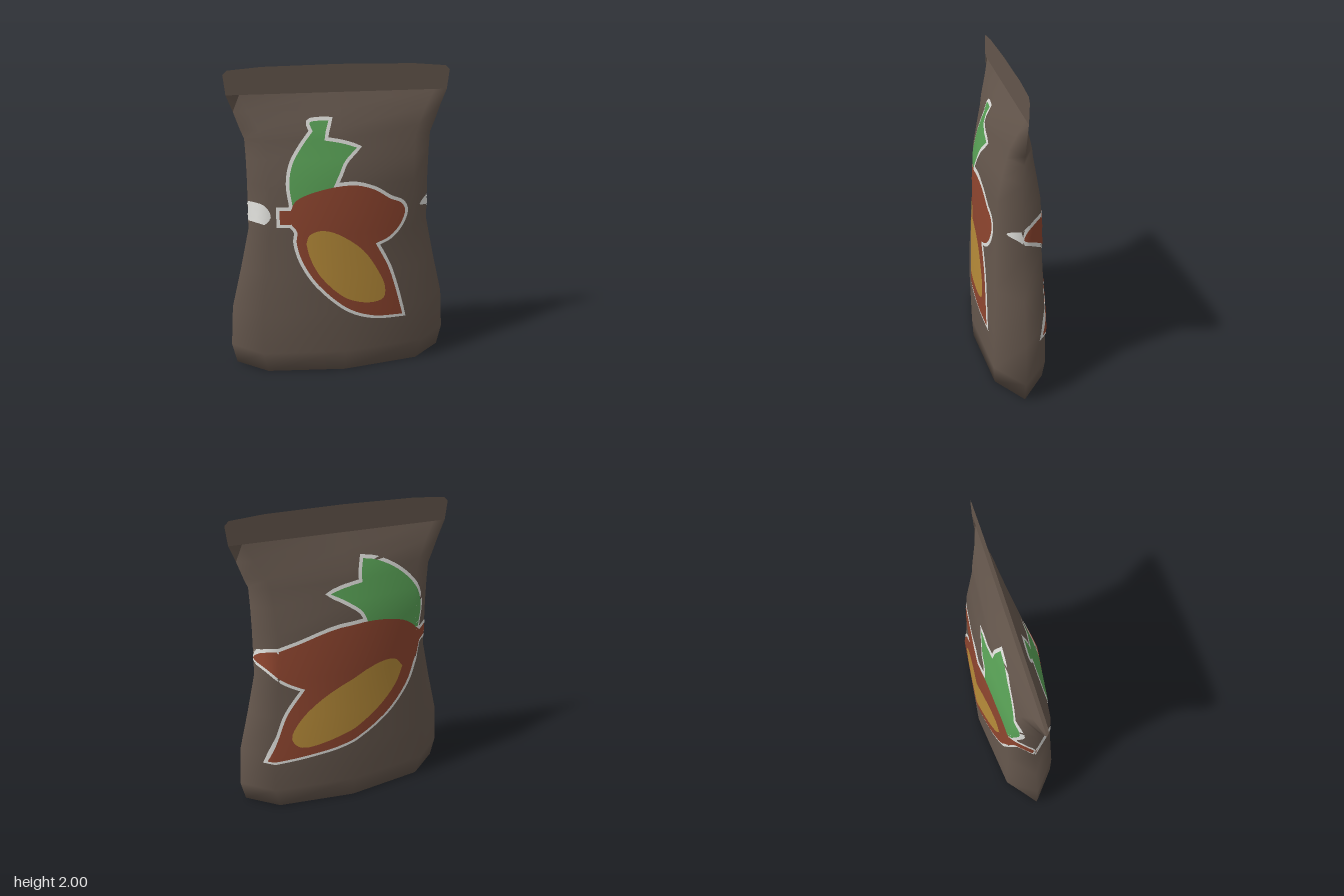
import * as THREE from 'three';

const mat = (name, color) => Object.assign(new THREE.MeshStandardMaterial({ color, side: THREE.DoubleSide }), { name });

// Bag cross-sections: [height, half width, shoulder x, shoulder z, centre z]
const RINGS = [
  [0, 0.71, 0.51, 0.158, 0.222], [0.14, 0.74, 0.54, 0.168, 0.23], [0.42, 0.72, 0.53, 0.165, 0.224],
  [0.7, 0.652, 0.5, 0.152, 0.212], [0.97, 0.592, 0.47, 0.14, 0.2], [1.28, 0.587, 0.46, 0.13, 0.188],
  [1.44, 0.588, 0.465, 0.1, 0.146], [1.56, 0.592, 0.475, 0.075, 0.113], [1.62, 0.615, 0.495, 0.064, 0.098],
  [1.73, 0.652, 0.55, 0.03, 0.046], [1.83, 0.69, 0.61, 0, 0],
];
const section = ([, w, a, b, d]) =>
  [[w, 0], [a, b], [0, d], [-a, b], [-w, 0], [-a, -b], [0, -d], [a, -b]];

function bagGeometry() {
  const pos = [], index = [];
  RINGS.forEach((r) => section(r).forEach(([x, z]) => pos.push(x, r[0], z)));
  for (let i = 0; i < RINGS.length - 1; i++) for (let j = 0; j < 8; j++) {
    const k = (j + 1) % 8, lo = i * 8, hi = lo + 8;
    index.push(lo + j, hi + j, lo + k, lo + k, hi + j, hi + k);
  }
  const c = pos.length / 3;
  pos.push(0, 0, 0);
  for (let j = 0; j < 8; j++) index.push(c, j, (j + 1) % 8);
  const g = new THREE.BufferGeometry();
  g.setAttribute('position', new THREE.Float32BufferAttribute(pos, 3));
  g.setIndex(index);
  g.computeVertexNormals();
  return g;
}

// Point and normal on the bag at (u, y); u past the side edge folds onto the other face
function onBag(bag, u, y, side, lift) {
  let i = 0;
  while (i < RINGS.length - 2 && RINGS[i + 1][0] < y) i++;
  const t = (y - RINGS[i][0]) / (RINGS[i + 1][0] - RINGS[i][0]);
  const pts = section(RINGS[i].map((v, k) => v + (RINGS[i + 1][k] - v) * t));
  const w = pts[0][0];
  let x = u;
  if (Math.abs(u) > w) { x = Math.sign(u) * (2 * w - Math.abs(u)); side = -side; }
  const first = side > 0 ? 0 : 4;
  let j = first;
  while (j < first + 3 && (x - pts[j][0]) * (x - pts[(j + 1) % 8][0]) > 0) j++;
  const k = (j + 1) % 8, s = (x - pts[j][0]) / (pts[k][0] - pts[j][0]);
  const n = (r, c) => new THREE.Vector3().fromBufferAttribute(bag.attributes.normal, r * 8 + c);
  const normal = n(i, j).lerp(n(i, k), s).lerp(n(i + 1, j).lerp(n(i + 1, k), s), t).normalize();
  const point = new THREE.Vector3(x, y, pts[j][1] + (pts[k][1] - pts[j][1]) * s);
  return { point: point.addScaledVector(normal, lift), normal };
}

// Outline from smooth arcs that meet at corners
function outline(arcs) {
  const out = [];
  arcs.forEach((arc, i) => {
    const pts = [...arc, arcs[(i + 1) % arcs.length][0]].map(([x, y]) => new THREE.Vector3(x, y, 0));
    if (pts.length === 2) { out.push(new THREE.Vector2(pts[0].x, pts[0].y)); return; }
    const n = (pts.length - 1) * 4;
    new THREE.CatmullRomCurve3(pts).getPoints(n).slice(0, n).forEach((p) => out.push(new THREE.Vector2(p.x, p.y)));
  });
  return out;
}

// Counter-clockwise outline grown by a border
function grow(pts, d) {
  const n = pts.length;
  return pts.map((p, i) => {
    const e = p.clone().sub(pts[(i + n - 1) % n]).normalize();
    const f = pts[(i + 1) % n].clone().sub(p).normalize();
    const a = new THREE.Vector2(e.y + f.y, -e.x - f.x).normalize();
    const m = Math.min(1.5, 1 / Math.max(0.3, a.x * e.y - a.y * e.x));
    return p.clone().addScaledVector(a, d * m);
  });
}

// Flat shape split into small triangles and laid on the bag
function decal(bag, pts, side, lift) {
  const pos = [], nor = [];
  const put = (p) => {
    const q = onBag(bag, p.x, p.y, side, lift);
    pos.push(...q.point); nor.push(...q.normal);
  };
  const split = (a, b, c) => {
    const ab = a.distanceTo(b), bc = b.distanceTo(c), ca = c.distanceTo(a);
    if (Math.max(ab, bc, ca) < 0.04) (side > 0 ? [a, b, c] : [a, c, b]).forEach(put);
    else if (ab >= bc && ab >= ca) { const m = a.clone().lerp(b, 0.5); split(a, m, c); split(m, b, c); }
    else if (bc >= ca) { const m = b.clone().lerp(c, 0.5); split(a, b, m); split(a, m, c); }
    else { const m = c.clone().lerp(a, 0.5); split(a, b, m); split(m, b, c); }
  };
  THREE.ShapeUtils.triangulateShape(pts, []).forEach(([a, b, c]) => split(pts[a], pts[b], pts[c]));
  const g = new THREE.BufferGeometry();
  g.setAttribute('position', new THREE.Float32BufferAttribute(pos, 3));
  g.setAttribute('normal', new THREE.Float32BufferAttribute(nor, 3));
  return g;
}

const FRONT = {
  side: 1,
  fruit: [
    [[-0.4, 1.13]], [[-0.4, 1.04]],
    [[-0.33, 1.04], [-0.295, 0.99], [-0.3, 0.92], [-0.27, 0.8], [-0.17, 0.63], [0.03, 0.45], [0.2, 0.38]],
    [[0.395, 0.365], [0.34, 0.57], [0.29, 0.72]],
    [[0.205, 0.885], [0.3, 0.925], [0.37, 1], [0.4, 1.09], [0.375, 1.14], [0.3, 1.175], [0.19, 1.245],
      [0.04, 1.285], [-0.17, 1.25], [-0.3, 1.19]],
    [[-0.33, 1.13]],
  ],
  seed: [[[-0.24, 0.91], [-0.22, 0.82], [-0.15, 0.68], [0.01, 0.53], [0.17, 0.48], [0.26, 0.5], [0.27, 0.58],
    [0.22, 0.7], [0.12, 0.85], [-0.04, 0.97], [-0.15, 0.995], [-0.22, 0.965]]],
  leaf: [
    [[-0.32, 1.16], [-0.2, 1.2]],
    [[-0.08, 1.25], [-0.03, 1.35], [0.01, 1.43]],
    [[0.09, 1.505], [0, 1.535]],
    [[-0.11, 1.555], [-0.1, 1.61]],
    [[-0.08, 1.67], [-0.14, 1.67], [-0.195, 1.66]],
    [[-0.18, 1.61], [-0.25, 1.52], [-0.31, 1.42], [-0.335, 1.3]],
  ],
  extra: [],
};

const BACK = {
  side: -1,
  fruit: [
    [[-0.6, 1.135]], [[-0.6, 1.06]],
    [[-0.5, 1.065], [-0.455, 0.965], [-0.39, 0.79], [-0.23, 0.6], [0.05, 0.45], [0.32, 0.395]],
    [[0.57, 0.375], [0.49, 0.57], [0.43, 0.72]],
    [[0.31, 0.89], [0.42, 0.95], [0.52, 1.03], [0.585, 1.09], [0.55, 1.135], [0.33, 1.21], [0.07, 1.29],
      [-0.22, 1.29], [-0.39, 1.24]],
    [[-0.5, 1.14]],
  ],
  seed: [[[-0.36, 0.93], [-0.31, 0.81], [-0.16, 0.65], [0.1, 0.51], [0.35, 0.465], [0.41, 0.54], [0.34, 0.68],
    [0.14, 0.85], [-0.16, 0.99], [-0.3, 0.995]]],
  leaf: [
    [[-0.48, 1.18], [-0.3, 1.2]],
    [[-0.12, 1.25], [-0.08, 1.36], [0.02, 1.44]],
    [[0.12, 1.495], [0.02, 1.525]],
    [[-0.09, 1.54], [-0.09, 1.6]],
    [[-0.11, 1.675], [-0.2, 1.655], [-0.34, 1.58], [-0.46, 1.455], [-0.51, 1.31]],
  ],
  // border ends that wrap round the side edges
  extra: [
    [[[-0.56, 1.16], [-0.57, 1.1]], [[-0.56, 1.03]], [[-0.69, 1.03], [-0.725, 1.09], [-0.69, 1.155]]],
    [[[0.54, 1.03], [0.6, 1.07], [0.665, 1.1], [0.6, 1.14], [0.54, 1.16]]],
  ],
};

export function createModel() {
  const brown = mat('brown wrapper', 0x64564c), white = mat('white border', 0xdcdcd8);
  const red = mat('red brown husk', 0x8c442e), gold = mat('golden seed', 0xb48938);
  const green = mat('green leaf', 0x58a055);
  const group = new THREE.Group();
  const add = (name, geometry, material, parent = group) => {
    const m = new THREE.Mesh(geometry, material);
    m.name = name;
    parent.add(m);
  };

  // Pouch and the flat seal along its top
  const bag = bagGeometry();
  add('pouch', bag, brown);
  const seal = [[-0.69, 1.83], [0.69, 1.83], [0.702, 1.95], [0.675, 1.976], [0.47, 1.993], [0, 2],
    [-0.47, 1.993], [-0.675, 1.976], [-0.702, 1.95]].map((p) => new THREE.Vector2(...p));
  add('topSeal', new THREE.ShapeGeometry(new THREE.Shape(seal)), brown);

  // Fruit picture on each face
  for (const art of [FRONT, BACK]) {
    const face = new THREE.Group();
    face.name = art.side > 0 ? 'frontPicture' : 'backPicture';
    group.add(face);
    const lay = (name, pts, lift, material) => add(name, decal(bag, pts, art.side, lift), material, face);
    const fruit = outline(art.fruit), leaf = outline(art.leaf);
    lay('fruitBorder', grow(fruit, 0.022), 0.004, white);
    lay('leafBorder', grow(leaf, 0.022), 0.004, white);
    art.extra.forEach((e) => lay('borderEnd', outline(e), 0.004, white));
    lay('leaf', leaf, 0.006, green);
    lay('fruit', fruit, 0.0075, red);
    lay('seed', outline(art.seed), 0.009, gold);
  }
  return group;
}
